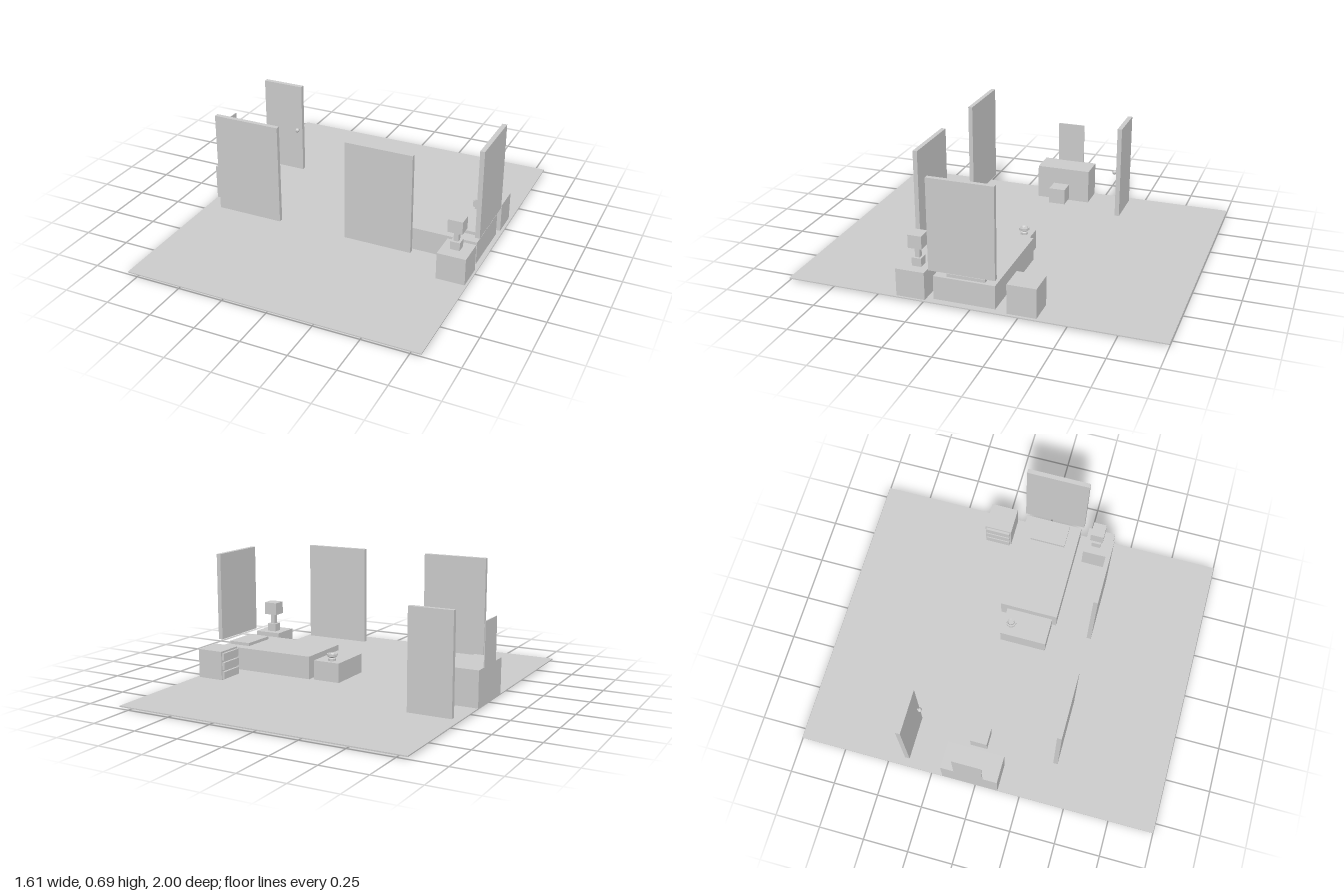
import * as THREE from 'three';

export function createModel() {
  const room = new THREE.Group();
  room.name = 'bedroom';
  const grey = new THREE.MeshStandardMaterial({ color: 0xcccccc, flatShading: true });

  const add = (name, geometry, parent = room) => {
    const mesh = new THREE.Mesh(geometry, grey);
    mesh.name = name;
    parent.add(mesh);
    return mesh;
  };
  // Box given by its [min, max] range on each axis
  const box = (name, [x0, x1], [y0, y1], [z0, z1], parent = room) => {
    const mesh = add(name, new THREE.BoxGeometry(x1 - x0, y1 - y0, z1 - z0), parent);
    mesh.position.set((x0 + x1) / 2, (y0 + y1) / 2, (z0 + z1) / 2);
    return mesh;
  };
  const group = (name) => {
    const g = new THREE.Group();
    g.name = name;
    room.add(g);
    return g;
  };

  box('floor', [-0.806, 0.806], [0.01, 0.016], [-1, 1]);

  // Window panels: two along the front, one over the bed
  box('frontWindowRight', [-0.605, -0.24], [0.14, 0.685], [0.386, 0.41]);
  box('frontWindowLeft', [0.14, 0.505], [0.14, 0.685], [0.386, 0.41]);
  box('sideWindow', [0.777, 0.802], [0.19, 0.68], [-0.14, 0.21]);

  // Door with a faceted knob on a short stem
  const door = group('door');
  box('doorPanel', [-0.762, -0.52], [0, 0.553], [-0.415, -0.389], door);
  const stem = add('knobStem', new THREE.CylinderGeometry(0.006, 0.006, 0.02, 6), door);
  stem.rotation.x = Math.PI / 2;
  stem.position.set(-0.545, 0.278, -0.382);
  const knob = add('knob', new THREE.SphereGeometry(0.013, 8, 6), door);
  knob.position.set(-0.545, 0.278, -0.374);

  // Bed
  const bed = group('bed');
  box('mattress', [0.208, 0.785], [0.026, 0.153], [-0.133, 0.194], bed);
  box('pillow', [0.64, 0.77], [0.15, 0.17], [-0.075, 0.127], bed);

  // Nightstand and table lamp
  box('nightstand', [0.64, 0.795], [0.01, 0.166], [0.238, 0.393]);
  const lamp = group('lamp');
  box('lampBase', [0.686, 0.738], [0.166, 0.211], [0.276, 0.328], lamp);
  box('lampStem', [0.699, 0.725], [0.211, 0.27], [0.289, 0.315], lamp);
  box('lampShade', [0.672, 0.752], [0.269, 0.34], [0.265, 0.339], lamp);

  // Chest with three drawer fronts facing the room
  const chest = group('chest');
  box('chestBody', [0.64, 0.79], [0.014, 0.176], [-0.347, -0.193], chest);
  for (let i = 0; i < 3; i++) {
    const y = 0.022 + i * 0.052;
    box('drawer', [0.626, 0.645], [y, y + 0.04], [-0.34, -0.2], chest);
  }

  // Low table at the foot of the bed, with a small bowl
  box('lowTable', [0.045, 0.2], [0.014, 0.125], [-0.093, 0.17]);
  const profile = [[0, 0], [0.022, 0], [0.022, 0.012], [0.016, 0.018], [0.03, 0.026],
    [0.03, 0.039], [0.022, 0.039], [0.016, 0.03], [0, 0.03]];
  const bowl = add('bowl', new THREE.LatheGeometry(
    profile.map(([r, y]) => new THREE.Vector2(r, y)), 8));
  bowl.position.set(0.112, 0.125, -0.047);

  // Dresser with mirror and stool
  box('dresser', [-0.806, -0.655], [0.014, 0.213], [-0.187, 0.127]);
  box('mirror', [-0.806, -0.801], [0.213, 0.449], [-0.113, 0.046]);
  box('stool', [-0.604, -0.511], [0.047, 0.138], [-0.082, 0.012]);

  return room;
}
